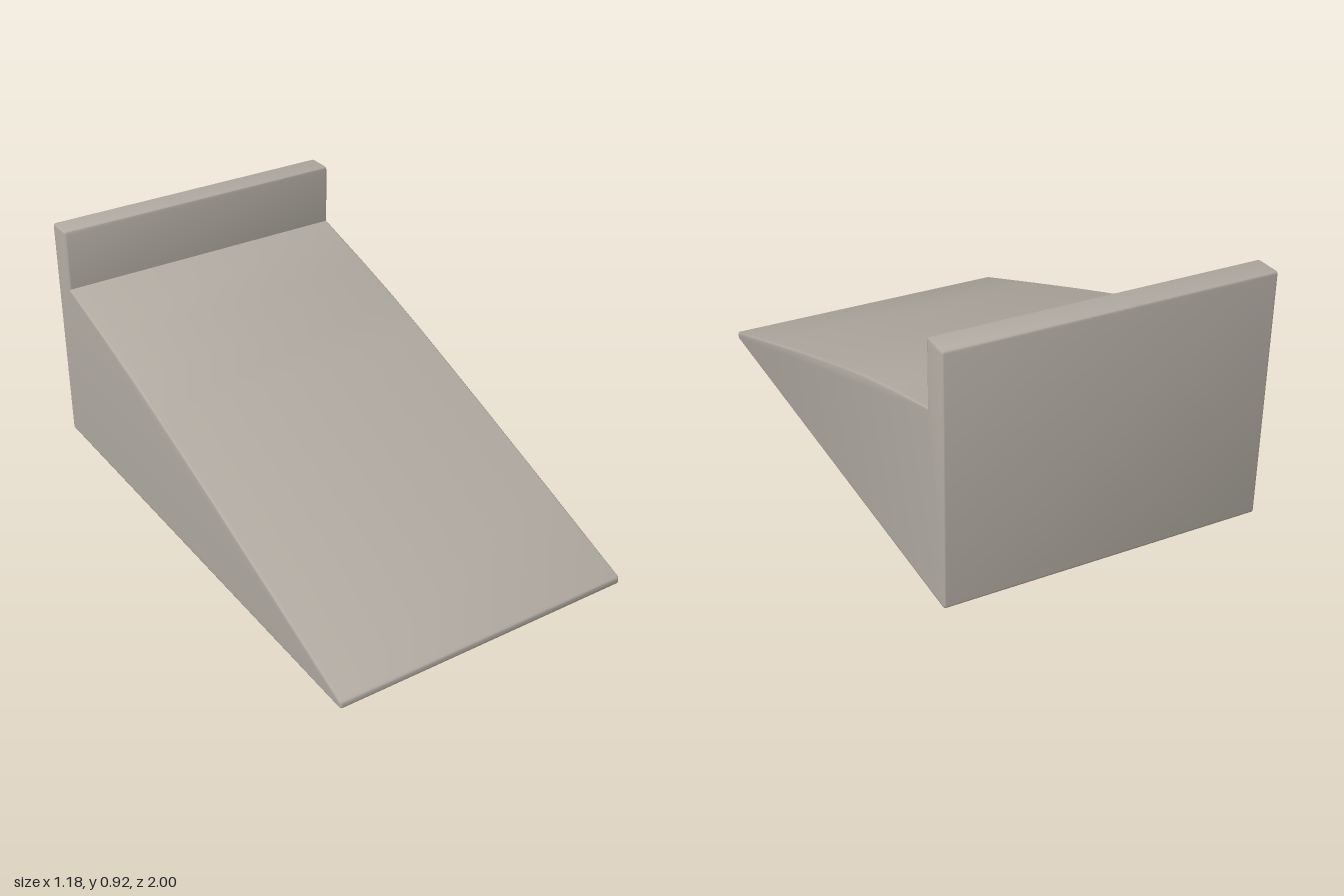
import * as THREE from 'three';
import { toCreasedNormals } from 'three/addons/utils/BufferGeometryUtils.js';

// Closed side profile as [z, y, corner radius]
const profile = [
  [-1, 0, 0.012], [1, 0, 0.01], [1, 0.03, 0.01],
  [0.6, 0.18, 0], [0.4, 0.254, 0], [0.2, 0.328, 0], [0, 0.4, 0],
  [-0.2, 0.471, 0], [-0.4, 0.538, 0], [-0.6, 0.598, 0],
  [-0.895, 0.68, 0], [-0.895, 0.922, 0.012], [-1, 0.922, 0.012],
];

// Shape whose marked corners are softened by short curves
function roundedShape(points) {
  const shape = new THREE.Shape();
  const pts = points.map(([z, y]) => new THREE.Vector2(z, y));
  const n = pts.length;
  const toward = (a, b, d) => b.clone().sub(a).setLength(d).add(a);
  points.forEach(([, , r], i) => {
    const p = pts[i];
    const a = r ? toward(p, pts[(i + n - 1) % n], r) : p;
    if (i === 0) shape.moveTo(a.x, a.y);
    else shape.lineTo(a.x, a.y);
    if (r) {
      const b = toward(p, pts[(i + 1) % n], r);
      shape.quadraticCurveTo(p.x, p.y, b.x, b.y);
    }
  });
  shape.closePath();
  return shape;
}

export function createModel() {
  const group = new THREE.Group();
  group.name = 'ramp';
  const concrete = new THREE.MeshStandardMaterial({ color: 0xb0aaa1 });
  concrete.name = 'concrete';

  // Curved ramp with an upright back lip, extruded across its width
  const width = 1.18, bevel = 0.008;
  const depth = width - 2 * bevel;
  const geometry = new THREE.ExtrudeGeometry(roundedShape(profile), {
    depth, curveSegments: 3,
    bevelEnabled: true, bevelThickness: bevel, bevelSize: bevel,
    bevelOffset: -bevel, bevelSegments: 3,
  });
  geometry.translate(0, 0, -depth / 2);
  geometry.rotateY(-Math.PI / 2);

  const ramp = new THREE.Mesh(toCreasedNormals(geometry, 0.6), concrete);
  ramp.name = 'rampBody';
  group.add(ramp);
  return group;
}
